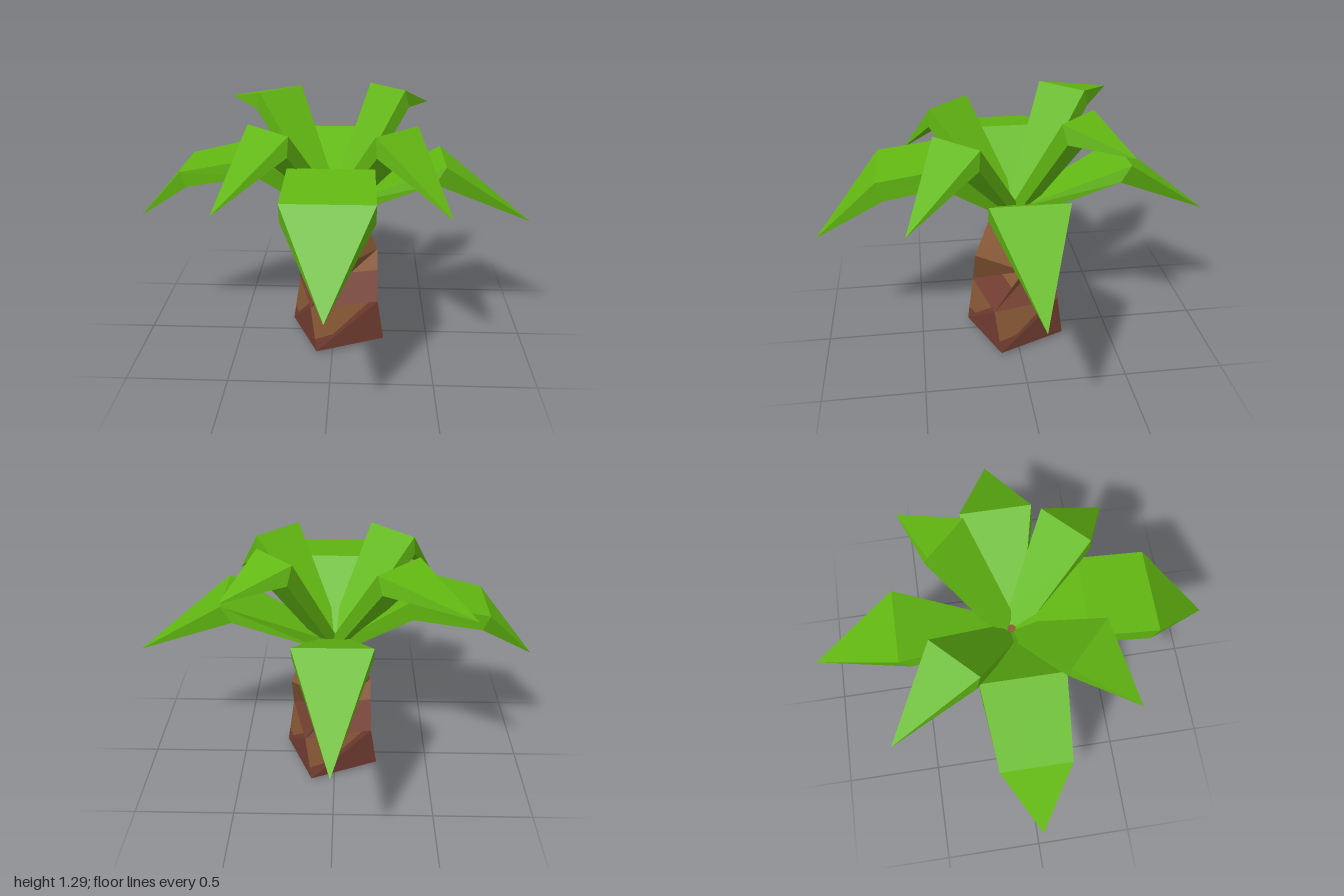
import * as THREE from 'three';

const leafGreen = new THREE.MeshStandardMaterial({ color: 0x62b812 });
leafGreen.name = 'leaf green';
const barkBrown = new THREE.MeshStandardMaterial({ color: 0x8a5a36 });
barkBrown.name = 'bark brown';
const barkRed = new THREE.MeshStandardMaterial({ color: 0x753f32 });
barkRed.name = 'bark red';

// Flat-shaded mesh from polygons (fans of Vector3, counter-clockwise from outside)
function facetMesh(name, polygons, material) {
  const points = [];
  for (const p of polygons) {
    for (let i = 1; i < p.length - 1; i++) points.push(p[0], p[i], p[i + 1]);
  }
  const geometry = new THREE.BufferGeometry().setFromPoints(points);
  geometry.computeVertexNormals();
  const mesh = new THREE.Mesh(geometry, material);
  mesh.name = name;
  return mesh;
}

const mix = (a, b, t) => a.clone().lerp(b, t);

// Four corners of a turned square: front, right, back, left
function trunkRing(y, a, b, cx = 0.02) {
  return [[b, a], [a, -b], [-b, -a], [-a, b]].map(([x, z]) => new THREE.Vector3(x + cx, y, z));
}

// Twisted four-sided trunk with two bark colours
function makeTrunk() {
  const rings = [
    trunkRing(0.015, 0.247, -0.1),
    trunkRing(0.25, 0.212, -0.13),
    trunkRing(0.48, 0.207, 0.02),
    trunkRing(0.7, 0.122, 0.01),
    trunkRing(0.74, 0.07, 0.005),
  ];
  const foot = new THREE.Vector3(0.02, 0, 0);
  const brown = [rings[4]];
  const red = [];
  for (let i = 0; i < 4; i++) {
    const j = (i + 1) % 4;
    const [f0, f1, f2, f3, f4] = rings.map((r) => r[i]);
    const [r0, r1, r2, r3, r4] = rings.map((r) => r[j]);
    // lower block: red with a brown patch under the ridge
    const side = mix(f1, f0, 0.72);
    const top = mix(f1, r1, 0.86);
    const mid = mix(mix(f0, r1, 0.3), f1, 0.08);
    red.push([r0, f0, foot], [f0, r0, r1], [side, f0, mid], [f0, r1, mid], [r1, top, mid]);
    brown.push([f1, side, mid], [f1, mid, top]);
    // middle block: red facet with a brown tip, brown overhang
    const q1 = mix(r1, r2, 0.6);
    const q2 = mix(f1, r2, 0.6);
    red.push([f1, r1, q1, q2]);
    brown.push([q2, q1, r2], [f1, r2, f2]);
    // upper block
    brown.push([f2, r2, r3, f3], [f3, r3, r4, f4]);
  }
  const trunk = new THREE.Group();
  trunk.name = 'trunk';
  trunk.add(facetMesh('brownBark', brown, barkBrown), facetMesh('redBark', red, barkRed));
  return trunk;
}

// Thick folded leaf along +z; each station is [distance, topY, halfWidth, bottomDistance, bottomY]
function makeLeaf(name, degrees, stations, tipDistance, tipY) {
  const base = [0.02, 0.75, 0.055, 0.04, 0.69];
  const rings = [base, ...stations].map(([z, y, w, zb, yb]) => [
    new THREE.Vector3(w, y, z), new THREE.Vector3(-w, y, z),
    new THREE.Vector3(-w, yb, zb), new THREE.Vector3(w, yb, zb),
  ]);
  const tip = new THREE.Vector3(0, tipY, tipDistance);
  const faces = [[...rings[0]].reverse()];
  rings.forEach((ring, k) => {
    const next = rings[k + 1];
    for (let i = 0; i < 4; i++) {
      const j = (i + 1) % 4;
      faces.push(next ? [ring[i], ring[j], next[j], next[i]] : [ring[i], ring[j], tip]);
    }
  });
  const leaf = facetMesh(name, faces, leafGreen);
  leaf.rotation.y = THREE.MathUtils.degToRad(degrees);
  return leaf;
}

export function createModel() {
  const model = new THREE.Group();
  model.name = 'palmTree';
  model.add(makeTrunk());

  const leaves = new THREE.Group();
  leaves.name = 'leaves';
  leaves.add(
    // long drooping leaves
    makeLeaf('frontLeaf', 0, [[0.34, 1.04, 0.2, 0.37, 0.945], [0.67, 0.995, 0.205, 0.64, 0.9]], 1, 0.62),
    makeLeaf('rightLeaf', -90, [[0.35, 1.04, 0.2, 0.37, 0.95], [0.74, 0.955, 0.165, 0.71, 0.88]], 1, 0.66),
    makeLeaf('leftLeaf', 90, [[0.54, 1, 0.18, 0.49, 0.915]], 1, 0.66),
    makeLeaf('backLeaf', 180, [[0.55, 1, 0.18, 0.5, 0.915]], 1, 0.66),
    // short upright leaves
    makeLeaf('frontLeftLeaf', 45, [[0.42, 1.205, 0.14, 0.43, 1.11]], 0.765, 0.88),
    makeLeaf('frontRightLeaf', -44, [[0.414, 1.205, 0.145, 0.425, 1.11]], 0.753, 0.88),
    makeLeaf('backLeftLeaf', 134, [[0.368, 1.29, 0.125, 0.4, 1.2]], 0.68, 1.165),
    makeLeaf('backRightLeaf', 225, [[0.407, 1.265, 0.14, 0.44, 1.18]], 0.85, 1.16),
  );
  model.add(leaves);
  return model;
}
